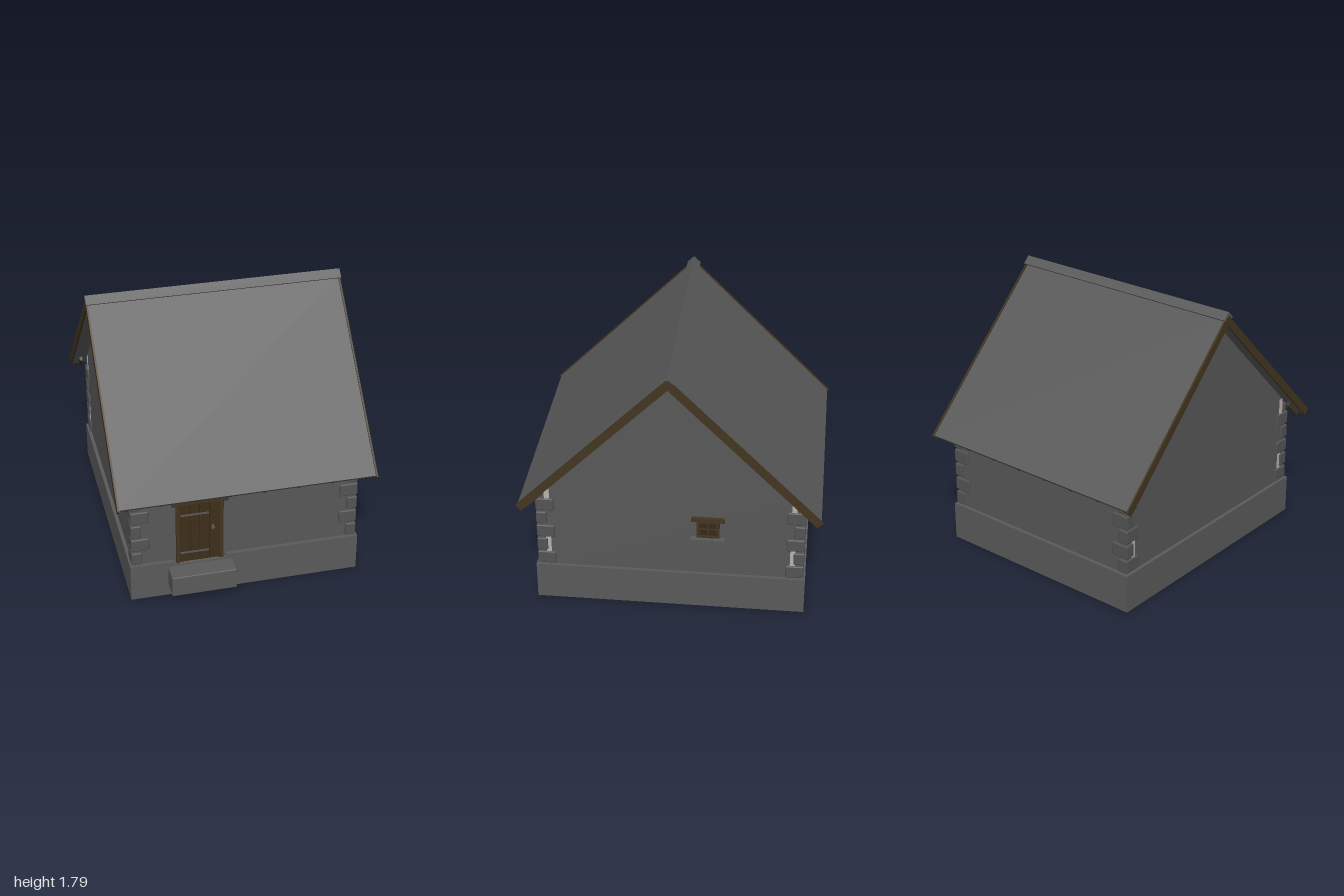
import * as THREE from 'three';
import { RoundedBoxGeometry } from 'three/addons/geometries/RoundedBoxGeometry.js';

function material(name, color) {
  const m = new THREE.MeshStandardMaterial({ color });
  m.name = name;
  return m;
}

export function createModel() {
  const roofMat = material('slate', 0x5a5a5a);
  const wallMat = material('wall stone', 0x585858);
  const baseMat = material('base stone', 0x5a5a5a);
  const quoinMat = material('corner stone', 0x545454);
  const woodMat = material('wood', 0x433520);
  const doorMat = material('door wood', 0x3f2f1a);
  const ironMat = material('iron', 0x58595c);
  const plasterMat = material('plaster', 0xb8b2aa);
  const floorMat = material('floor', 0xa8a493);
  const paneMat = material('dark gaps', 0x35291a);

  const house = new THREE.Group();
  house.name = 'cottage';

  // Box given by its min and max on each axis
  function box(name, mat, x0, x1, y0, y1, z0, z1, bevel = 0) {
    const w = x1 - x0, h = y1 - y0, d = z1 - z0;
    const geo = bevel ? new RoundedBoxGeometry(w, h, d, 1, bevel) : new THREE.BoxGeometry(w, h, d);
    const mesh = new THREE.Mesh(geo, mat);
    mesh.name = name;
    mesh.position.set((x0 + x1) / 2, (y0 + y1) / 2, (z0 + z1) / 2);
    house.add(mesh);
    return mesh;
  }

  // Board on a 45 degree slope: its underside runs from s0 to s1 below the ridge line at height y
  function slopeBoard(name, mat, side, x, width, y, s0, s1, thick) {
    const mesh = new THREE.Mesh(new THREE.BoxGeometry(width, thick, s1 - s0), mat);
    mesh.name = name;
    const k = Math.SQRT1_2, s = (s0 + s1) / 2;
    mesh.position.set(x, y + k * (thick / 2 - s), side * k * (s + thick / 2));
    mesh.rotation.x = side * Math.PI / 4;
    house.add(mesh);
  }

  // Base: open ring with a lower sill at the door
  box('baseBack', baseMat, -0.763, 0.763, 0, 0.26, -0.8875, -0.8375);
  box('baseSideRight', baseMat, -0.763, -0.713, 0, 0.26, -0.8375, 0.8375);
  box('baseSideLeft', baseMat, 0.713, 0.763, 0, 0.26, -0.8375, 0.8375);
  box('baseFrontRight', baseMat, -0.763, -0.47, 0, 0.26, 0.8375, 0.8875);
  box('baseFrontDoor', baseMat, -0.47, -0.13, 0, 0.235, 0.8375, 0.8875);
  box('baseFrontLeft', baseMat, -0.13, 0.763, 0, 0.26, 0.8375, 0.8875);
  box('floor', floorMat, -0.713, 0.713, 0.12, 0.14, -0.8375, 0.8375);
  box('doorStep', baseMat, -0.515, -0.085, 0.078, 0.224, 0.87, 1.0125, 0.006);

  // Long walls
  box('frontWall', wallMat, -0.74, 0.74, 0.2, 0.84, 0.8175, 0.8625);
  box('backWall', wallMat, -0.74, 0.74, 0.2, 0.84, -0.8625, -0.8175);

  // Gable walls
  const gable = new THREE.Shape();
  gable.moveTo(-0.8175, 0.2);
  gable.lineTo(0.8175, 0.2);
  gable.lineTo(0.8175, 0.883);
  gable.lineTo(0, 1.7);
  gable.lineTo(-0.8175, 0.883);
  const gableGeo = new THREE.ExtrudeGeometry(gable, { depth: 0.05, bevelEnabled: false });
  for (const x of [-0.74, 0.69]) {
    const mesh = new THREE.Mesh(gableGeo, wallMat);
    mesh.name = 'gableWall';
    mesh.rotation.y = Math.PI / 2;
    mesh.position.x = x;
    house.add(mesh);
  }

  // Corners: pale plaster patches and alternating corner stones
  for (const sx of [-1, 1]) for (const sz of [-1, 1]) {
    for (const [y0, y1] of [[0.357, 0.478], [0.77, 0.885]]) {
      const patch = box('plasterPatch', plasterMat, -0.002, 0.002, y0, y1, -0.017, 0.017);
      patch.position.x = sx * 0.7405;
      patch.position.z = sz * 0.8;
    }
    for (let i = 0; i < 5; i++) {
      const lx = i % 2 ? 0.12 : 0.07, lz = i % 2 ? 0.07 : 0.12;
      const y = 0.267 + i * 0.105;
      const stone = box('cornerStone', quoinMat, -lx / 2, lx / 2, y, y + 0.09, -lz / 2, lz / 2, 0.008);
      stone.position.x = sx * (0.752 - lx / 2);
      stone.position.z = sz * (0.876 - lz / 2);
    }
  }

  // Roof slopes, verge boards, rafter tails and ridge cap
  for (const side of [-1, 1]) {
    slopeBoard('roofSlope', roofMat, side, 0, 1.67, 1.698, -0.03, 1.335, 0.04);
    for (const x of [-0.84, 0.84]) {
      slopeBoard('vergeBoard', woodMat, side, x, 0.012, 1.69, -0.04, 1.34, 0.053);
    }
    for (let i = 0; i < 8; i++) {
      slopeBoard('rafterTail', woodMat, side, -0.784 + i * 0.224, 0.02, 1.658, 1.15, 1.305, 0.032);
    }
  }
  const cap = new THREE.Shape();
  [[0, 1.787], [-0.045, 1.742], [-0.036, 1.733], [0, 1.769], [0.036, 1.733], [0.045, 1.742]]
    .forEach(([z, y], i) => (i ? cap.lineTo(z, y) : cap.moveTo(z, y)));
  const ridge = new THREE.Mesh(new THREE.ExtrudeGeometry(cap, { depth: 1.696, bevelEnabled: false }), roofMat);
  ridge.name = 'ridgeCap';
  ridge.rotation.y = Math.PI / 2;
  ridge.position.x = -0.848;
  house.add(ridge);

  // Door: frame, planks, lintel and ironwork
  box('doorPost', woodMat, -0.457, -0.432, 0.235, 0.685, 0.85, 0.878);
  box('doorPost', woodMat, -0.172, -0.145, 0.235, 0.685, 0.85, 0.878);
  box('doorLintel', woodMat, -0.483, -0.116, 0.685, 0.722, 0.845, 0.886, 0.004);
  box('doorBack', paneMat, -0.432, -0.172, 0.235, 0.685, 0.85, 0.864);
  for (let i = 0; i < 4; i++) {
    const x = -0.43 + i * 0.0645;
    box('doorPlank', doorMat, x + 0.002, x + 0.0625, 0.238, 0.685, 0.852, 0.871, 0.003);
  }
  for (const y of [0.31, 0.603]) {
    box('hingeStrap', ironMat, -0.428, -0.24, y - 0.006, y + 0.006, 0.868, 0.875);
  }
  box('latchPlate', ironMat, -0.222, -0.207, 0.468, 0.505, 0.868, 0.874);
  box('latchHandle', ironMat, -0.226, -0.203, 0.478, 0.489, 0.87, 0.88);

  // Small gable window with crossed bars
  const wz = -0.248;
  box('windowPane', paneMat, 0.735, 0.743, 0.548, 0.675, wz - 0.07, wz + 0.07);
  box('windowLintel', woodMat, 0.73, 0.763, 0.675, 0.702, wz - 0.108, wz + 0.108);
  box('windowSill', baseMat, 0.73, 0.777, 0.531, 0.547, wz - 0.113, wz + 0.113);
  for (const s of [-1, 1]) {
    const z = wz + s * 0.065;
    box('windowJamb', woodMat, 0.735, 0.752, 0.547, 0.675, z - 0.01, z + 0.01);
  }
  box('windowRailTop', woodMat, 0.735, 0.752, 0.66, 0.675, wz - 0.06, wz + 0.06);
  box('windowRailBottom', woodMat, 0.735, 0.752, 0.547, 0.562, wz - 0.06, wz + 0.06);
  box('windowBarUpright', woodMat, 0.735, 0.749, 0.56, 0.662, wz - 0.005, wz + 0.005);
  box('windowBarCross', woodMat, 0.735, 0.748, 0.606, 0.616, wz - 0.058, wz + 0.058);

  house.position.z = -0.0125;
  const model = new THREE.Group();
  model.name = 'stoneCottage';
  model.add(house);
  return model;
}
